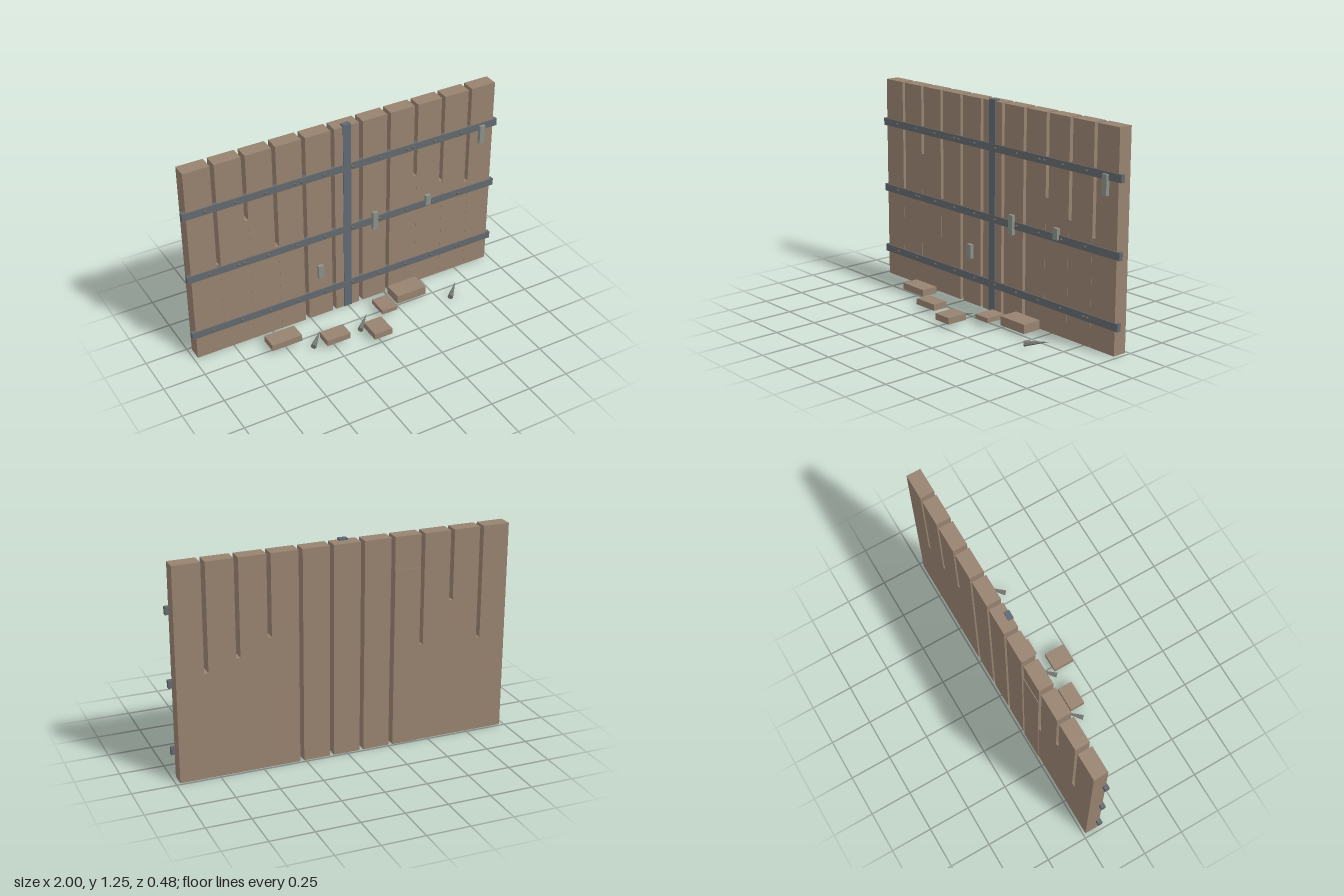
import * as THREE from 'three';

const mat = (name, color) => Object.assign(new THREE.MeshStandardMaterial({ color }), { name });

export function createModel() {
  const wood = mat('weatheredWood', 0x97826f);
  const iron = mat('ironBands', 0x62686e);
  const steel = mat('postSteel', 0x5f6874);
  const pale = mat('paleClips', 0x8b9088);
  const rivetMat = mat('rivets', 0x6a6259);
  const spikeMat = mat('spikes', 0x73766f);
  const model = new THREE.Group();
  model.name = 'plankWall';

  // box given by its extents
  const box = (name, material, x0, x1, y0, y1, z0, z1) => {
    const m = new THREE.Mesh(new THREE.BoxGeometry(x1 - x0, y1 - y0, z1 - z0), material);
    m.position.set((x0 + x1) / 2, (y0 + y1) / 2, (z0 + z1) / 2);
    m.name = name;
    model.add(m);
    return m;
  };

  // upright planks
  const pitch = 0.1795, half = 0.078;
  for (let i = -5; i <= 5; i++) {
    box('plank', wood, i * pitch - half, i * pitch + half, 0.005, 1.24, -0.235, -0.15);
  }
  // thin board on the back of one plank
  box('backBoard', wood, -2 * pitch - half, -2 * pitch + half, 0.005, 1.05, -0.239, -0.235);

  // lower joints where the gaps are closed: [gap index, top]
  const joints = [[-4.5, 0.58], [-3.5, 0.83], [-2.5, 0.59], [2.5, 0.77], [3.5, 0.68], [4.5, 0.62]];
  for (const [i, top] of joints) {
    box('joint', wood, i * pitch - 0.012, i * pitch + 0.012, 0.005, top, -0.235, -0.151);
  }

  // iron bands with rivets
  const bands = [[0.975, [-0.29, 0.43]], [0.56, [-0.66]], [0.17, [0.78]]];
  const rivetGeo = new THREE.SphereGeometry(0.009, 8, 6);
  for (const [y, extra] of bands) {
    box('band', iron, -1, 1, y - 0.022, y + 0.022, -0.17, -0.144);
    const xs = [...extra];
    for (let i = 0; i < 10; i++) xs.push(-0.87 + i * 0.18);
    for (const x of xs) {
      const r = new THREE.Mesh(rivetGeo, rivetMat);
      r.position.set(x, y, -0.144);
      r.name = 'rivet';
      model.add(r);
    }
  }

  // centre post
  box('centrePost', steel, -0.025, 0.025, 0.005, 1.25, -0.178, -0.146);

  // clips on the front: [x, bottom, top]
  for (const [x, y0, y1] of [[0.893, 0.87, 0.985], [0.176, 0.505, 0.62], [0.535, 0.555, 0.62], [-0.183, 0.285, 0.37]]) {
    box('clip', pale, x - 0.017, x + 0.017, y0, y1, -0.152, -0.128);
  }

  // broken wood in front of the wall
  const debris = [
    [-0.595, -0.405, 0.03, 0.07, -0.065, 0.037],
    [-0.305, -0.155, 0.033, 0.07, 0.065, 0.157],
    [-0.04, 0.075, 0.03, 0.068, 0.11, 0.238],
    [0.11, 0.213, 0.038, 0.065, -0.055, 0.07],
    [0.25, 0.445, 0.022, 0.076, -0.11, 0.008],
  ];
  for (const d of debris) box('woodChunk', wood, ...d);

  // loose spikes on the ground
  const spikeGeo = new THREE.ConeGeometry(0.017, 0.14, 6);
  const dir = new THREE.Vector3(0.1, 0.012, -0.1).normalize();
  for (const x of [-0.323, -0.015, 0.605]) {
    const s = new THREE.Mesh(spikeGeo, spikeMat);
    s.position.set(x, 0.03, 0.062);
    s.quaternion.setFromUnitVectors(new THREE.Vector3(0, 1, 0), dir);
    s.name = 'spike';
    model.add(s);
  }
  spikeMat.flatShading = true;

  // lower by the small ground gap
  for (const m of model.children) m.position.y -= 0.005;
  return model;
}
